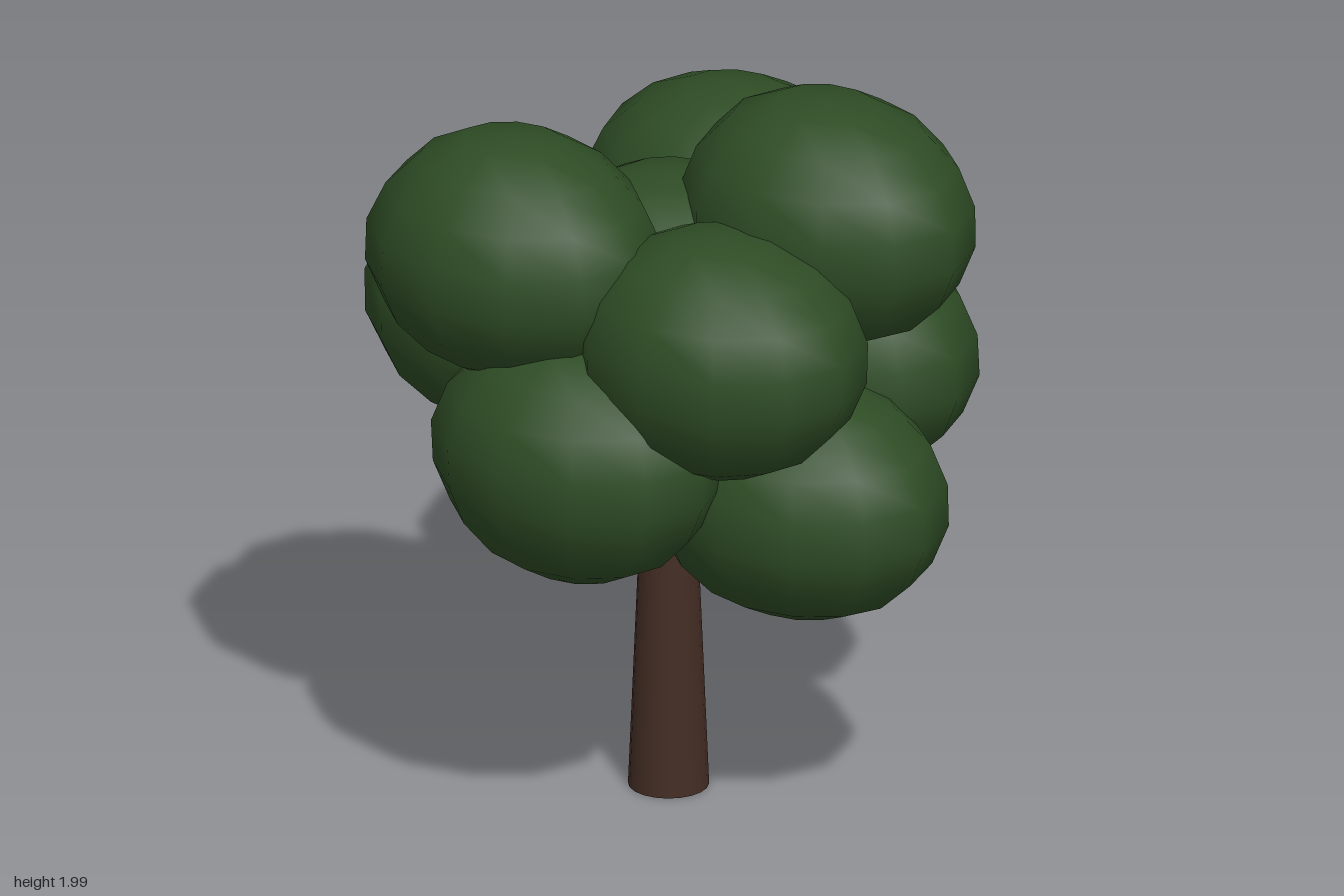
import * as THREE from 'three';
import { mergeVertices } from 'three/addons/utils/BufferGeometryUtils.js';

const foliage = new THREE.MeshStandardMaterial({ color: 0x2e4c25, name: 'leaf green' });
const bark = new THREE.MeshStandardMaterial({ color: 0x432d24, name: 'bark brown' });
const twig = new THREE.MeshStandardMaterial({ color: 0x4e2d23, name: 'branch brown' });

// Leaf clump centres
const clumps = {
  upperFront: [-0.21, 1.58, 0.38],
  upperLeft: [0.41, 1.66, -0.155],
  upperBack: [-0.12, 1.48, -0.44],
  middle: [0.01, 1.41, 0],
  midFrontLeft: [0.37, 1.40, 0.25],
  midRight: [-0.44, 1.27, 0.07],
  midBackLeft: [0.26, 1.19, -0.36],
  lowFront: [0.04, 1.09, 0.43],
  lowBackRight: [-0.33, 1.01, -0.28],
  lowLeft: [0.43, 0.93, 0],
};

// Lumpy, slightly flattened ball with small points at both poles
function clumpGeometry(seed) {
  let geo = new THREE.SphereGeometry(1, 12, 9);
  geo.deleteAttribute('uv');
  geo.deleteAttribute('normal');
  geo = mergeVertices(geo, 1e-4);
  const p = geo.attributes.position;
  const v = new THREE.Vector3();
  for (let i = 0; i < p.count; i++) {
    v.fromBufferAttribute(p, i);
    const pole = Math.abs(v.y) > 0.99;
    const lump = Math.sin(v.x * 3.1 + seed * 1.7) + Math.sin(v.y * 3.7 + seed * 2.3) + Math.sin(v.z * 3.3 + seed * 0.9);
    v.multiplyScalar(pole ? 1 : 1.005 + 0.012 * lump);
    p.setXYZ(i, v.x * 0.415, v.y * 0.328, v.z * 0.352);
  }
  geo.computeVertexNormals();
  return geo;
}

// Tapered limb between two points
function limb(name, from, to, r0, r1, sides, material) {
  const a = new THREE.Vector3(...from), b = new THREE.Vector3(...to);
  const dir = b.clone().sub(a);
  const mesh = new THREE.Mesh(new THREE.CylinderGeometry(r1, r0, dir.length(), sides), material);
  mesh.name = name;
  mesh.position.copy(a).add(b).multiplyScalar(0.5);
  mesh.quaternion.setFromUnitVectors(new THREE.Vector3(0, 1, 0), dir.normalize());
  return mesh;
}

export function createModel() {
  const tree = new THREE.Group();
  tree.name = 'tree';

  // Trunk
  tree.add(limb('trunk', [0.008, 0, 0.006], [0.008, 1.2, 0.006], 0.106, 0.056, 20, bark));

  // Branches reaching into the lower clumps
  for (const key of ['lowLeft', 'lowBackRight', 'lowFront', 'midBackLeft', 'midRight']) {
    const [x, y, z] = clumps[key];
    tree.add(limb(key + 'Branch', [0.008, y - 0.24, 0.006], [x * 0.8, y - 0.04, z * 0.8], 0.032, 0.02, 8, twig));
  }

  // Leaf clumps
  Object.entries(clumps).forEach(([key, pos], i) => {
    const mesh = new THREE.Mesh(clumpGeometry(i + 1), foliage);
    mesh.name = key + 'Leaves';
    mesh.position.set(...pos);
    tree.add(mesh);
  });
  return tree;
}
